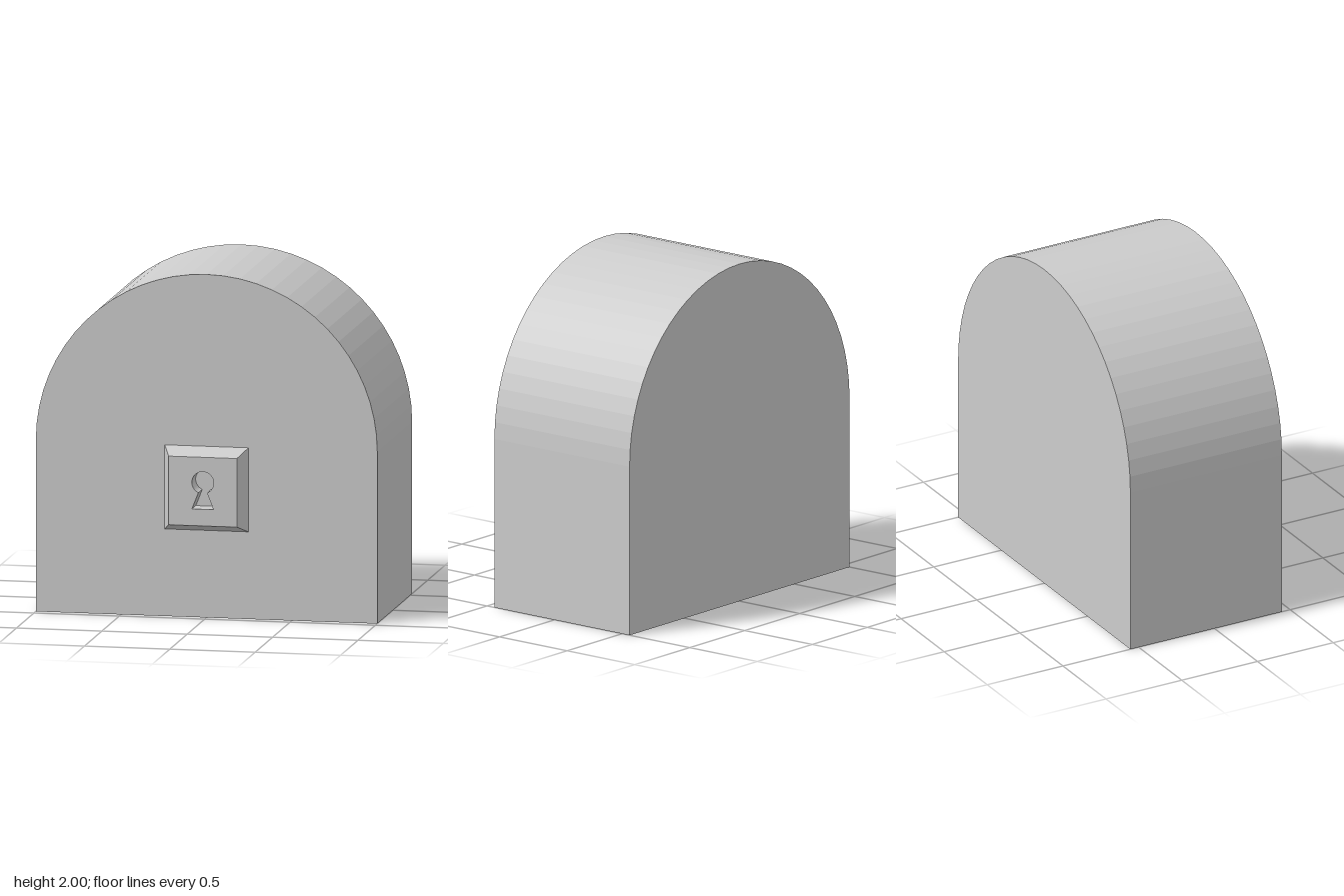
import * as THREE from 'three';

const BACK = -0.555, FACE = 0.445, FRONT = 0.555;

function addMesh(group, name, geometry, z) {
  const material = new THREE.MeshStandardMaterial({ color: 0xcccccc, flatShading: true });
  const mesh = new THREE.Mesh(geometry, material);
  mesh.name = name;
  mesh.position.z = z;
  group.add(mesh);
  return mesh;
}

// Upright block with a half-round top
function bodyGeometry() {
  const arch = new THREE.Shape();
  arch.moveTo(-1, 0);
  arch.lineTo(1, 0);
  arch.lineTo(1, 1);
  arch.absarc(0, 1, 1, 0, Math.PI, false);
  arch.closePath();
  return new THREE.ExtrudeGeometry(arch, { depth: FACE - BACK, bevelEnabled: false, curveSegments: 16 });
}

// Square plate pierced by a keyhole, its outer edge flaring towards the body
function lockPlateGeometry() {
  const half = 0.2, flare = 0.245 / 0.2;
  const plate = new THREE.Shape();
  plate.moveTo(-half, -half);
  plate.lineTo(half, -half);
  plate.lineTo(half, half);
  plate.lineTo(-half, half);
  plate.closePath();

  const keyhole = new THREE.Path();
  const gap = THREE.MathUtils.degToRad(23);
  keyhole.moveTo(-0.063, -0.103);
  keyhole.lineTo(0.063, -0.103);
  keyhole.absarc(0, 0.052, 0.064, -Math.PI / 2 + gap, Math.PI * 1.5 - gap, false);
  keyhole.closePath();
  plate.holes.push(keyhole);

  const geometry = new THREE.ExtrudeGeometry(plate, { depth: FRONT - FACE, bevelEnabled: false, curveSegments: 20 });
  const p = geometry.attributes.position;
  for (let i = 0; i < p.count; i++) {
    const outer = Math.abs(p.getX(i)) > half - 0.01;
    if (outer && p.getZ(i) < 0.01) p.setXY(i, p.getX(i) * flare, p.getY(i) * flare);
  }
  geometry.computeVertexNormals();
  return geometry;
}

export function createModel() {
  const model = new THREE.Group();
  model.name = 'archedLockBlock';
  addMesh(model, 'archedBody', bodyGeometry(), BACK);
  addMesh(model, 'keyholePlate', lockPlateGeometry(), FACE).position.y = 0.753;
  return model;
}
